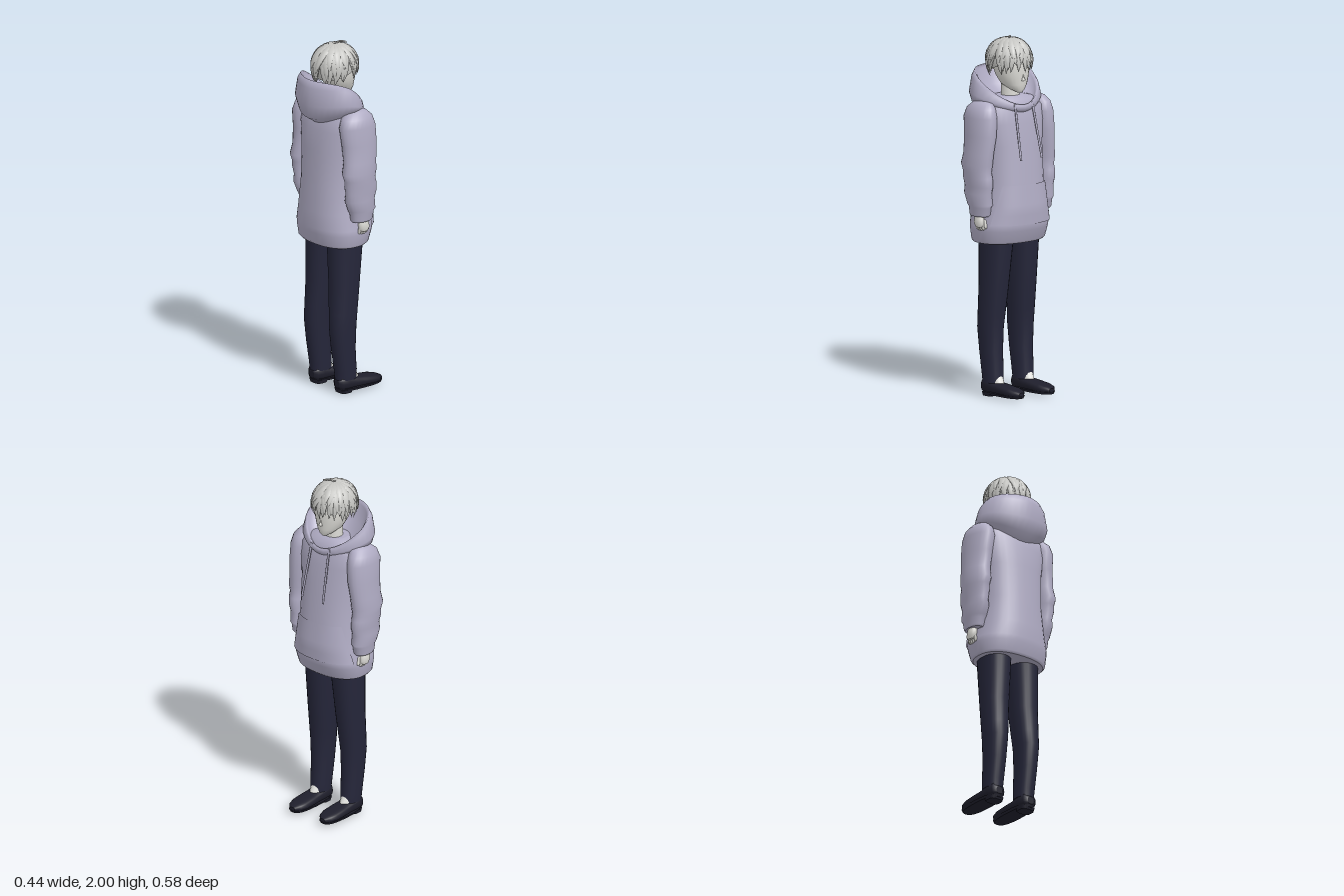
import * as THREE from 'three';

const mat = (name, color, side = THREE.FrontSide) => {
  const m = new THREE.MeshStandardMaterial({ color, side });
  m.name = name;
  return m;
};
const V = (x, y, z) => new THREE.Vector3(x, y, z);

// Skins a list of closed rings of points, with optional flat end caps
function skin(rings, caps = true) {
  const n = rings[0].length, pos = [], idx = [];
  rings.forEach(r => r.forEach(p => pos.push(p.x, p.y, p.z)));
  for (let i = 0; i < rings.length - 1; i++) for (let a = 0; a < n; a++) {
    const b = (a + 1) % n, p = i * n, q = p + n;
    idx.push(p + a, q + a, p + b, p + b, q + a, q + b);
  }
  if (caps) [rings[0], rings[rings.length - 1]].forEach((r, end) => {
    const base = pos.length / 3, c = V(0, 0, 0);
    r.forEach(p => { pos.push(p.x, p.y, p.z); c.addScaledVector(p, 1 / n); });
    pos.push(c.x, c.y, c.z);
    for (let a = 0; a < n; a++) {
      const b = (a + 1) % n;
      idx.push(base + n, base + (end ? b : a), base + (end ? a : b));
    }
  });
  const g = new THREE.BufferGeometry();
  g.setAttribute('position', new THREE.Float32BufferAttribute(pos, 3));
  g.setIndex(idx);
  g.computeVertexNormals();
  return g;
}

const pw = (v, e) => Math.sign(v) * Math.abs(v) ** e;
// Point on a horizontal section [y, back x, front x, centre z, half width]
const onSection = ([y, xb, xf, zc, rz], a, e = 1, grow = 1) =>
  V((xb + xf) / 2 + (xf - xb) / 2 * pw(Math.cos(a), e) * grow, y, zc + rz * pw(Math.sin(a), e) * grow);
const around = (n, f) => Array.from({ length: n }, (_, i) => f(i / n * Math.PI * 2));
const upright = (sections, s = 1, e = 1, n = 24) =>
  skin(sections.map(([y, b, f, z, r]) => around(n, a => onSection([y, b, f, z * s, r], a, e))));

const TORSO = [
  [0.858, -.165, .122, 0, .205], [0.87, -.176, .135, 0, .216], [0.93, -.186, .156, 0, .224],
  [0.96, -.19, .166, 0, .224], [1.05, -.19, .17, 0, .205], [1.2, -.18, .155, 0, .187],
  [1.4, -.17, .135, 0, .19], [1.52, -.16, .12, 0, .208], [1.6, -.14, .105, 0, .205],
  [1.645, -.115, .085, 0, .16], [1.665, -.08, .05, 0, .08]];
const SLEEVE = [
  [1.015, -.065, .06, .22, .04], [1.025, -.072, .068, .22, .046], [1.065, -.078, .075, .22, .048],
  [1.08, -.088, .085, .22, .055], [1.14, -.112, .078, .222, .058], [1.18, -.108, .092, .223, .055],
  [1.23, -.118, .088, .225, .062], [1.26, -.118, .08, .225, .059], [1.3, -.132, .086, .225, .066],
  [1.36, -.118, .09, .22, .063], [1.46, -.122, .1, .21, .068], [1.56, -.134, .097, .203, .07],
  [1.61, -.115, .08, .198, .062], [1.64, -.08, .05, .188, .044], [1.652, -.04, .015, .18, .018]];
const LEG = [
  [0.075, -.085, .04, .108, .05], [0.12, -.09, .04, .108, .053], [0.25, -.11, .032, .108, .057],
  [0.38, -.124, .036, .108, .063], [0.46, -.12, .044, .105, .068], [0.6, -.115, .06, .1, .074],
  [0.85, -.12, .087, .093, .083], [0.96, -.125, .09, .09, .085]];
const HEAD = [
  [1.685, .062, .086, 0, .014], [1.70, .015, .098, 0, .036], [1.73, -.05, .103, 0, .068],
  [1.78, -.085, .106, 0, .09], [1.83, -.105, .108, 0, .1], [1.9, -.105, .102, 0, .098],
  [1.945, -.08, .075, 0, .07], [1.965, -.03, .03, 0, .03]];
// Hood rows: back x, front x, half width, then heights at back, side and front
const HOOD = [
  [-.14, .1, .17, 1.55, 1.61, 1.575], [-.2, .115, .212, 1.59, 1.645, 1.585],
  [-.222, .125, .224, 1.67, 1.68, 1.6], [-.212, .122, .208, 1.77, 1.745, 1.615],
  [-.195, .114, .192, 1.812, 1.765, 1.622], [-.18, .104, .178, 1.795, 1.745, 1.612],
  [-.15, .09, .145, 1.7, 1.67, 1.59], [-.07, .05, .06, 1.65, 1.64, 1.58]];
// Shoe sections along the foot: x, half width, bottom y, top y
const SHOE = [
  [-.085, .02, .03, .07], [-.072, .044, .016, .095], [-.03, .05, .016, .095], [.03, .05, .018, .08],
  [.08, .054, .018, .074], [.15, .055, .016, .066], [.19, .044, .016, .058], [.218, .018, .02, .045]];

// Front pocket: a thin patch following the torso surface
function pocketGeometry() {
  const pos = [], idx = [], rows = 8, cols = 20;
  for (let i = 0; i <= rows; i++) {
    const y = 0.965 + 0.22 * i / rows;
    const k = TORSO.findIndex(t => t[0] > y), lo = TORSO[k - 1], hi = TORSO[k];
    const f = (y - lo[0]) / (hi[0] - lo[0]);
    const sec = lo.map((v, j) => v + (hi[j] - v) * f);
    const reach = 1.15 - 0.3 * (i / rows) ** 1.4;
    for (let j = 0; j <= cols; j++) {
      const p = onSection(sec, (j / cols * 2 - 1) * reach, 0.85, 1.03);
      pos.push(p.x, p.y, p.z);
      if (i < rows && j < cols) {
        const a = i * (cols + 1) + j, b = a + cols + 1;
        idx.push(a, b, a + 1, a + 1, b, b + 1);
      }
    }
  }
  const g = new THREE.BufferGeometry();
  g.setAttribute('position', new THREE.Float32BufferAttribute(pos, 3));
  g.setIndex(idx);
  g.computeVertexNormals();
  return g;
}

// One pointed lock of hair that runs from the crown over the skull
function lockGeometry(phi, end, lift, width, sweep) {
  const at = t => {
    const th = 0.05 + (end - 0.05) * t, over = Math.max(0, th - Math.PI / 2);
    const r = (over ? 1 - 0.25 * over * over : Math.sin(th)) * lift + 0.07 * t * t;
    const p = phi + sweep * t * t;
    return V(-.012 + .128 * r * Math.cos(p), 1.853 + .12 * lift * Math.cos(th), .113 * r * Math.sin(p));
  };
  const rings = [];
  for (let i = 0; i <= 8; i++) {
    const t = i / 8, p = at(t);
    const tan = at(t + 0.02).sub(at(t - 0.02)).normalize();
    let out = V(p.x + .012, p.y - 1.853, p.z);
    out.addScaledVector(tan, -out.dot(tan)).normalize();
    const side = out.clone().cross(tan);
    const w = width * Math.min(0.25 + 2 * t, 1) * (1 - t ** 3) + .0005;
    rings.push(around(6, a => p.clone().addScaledVector(out, Math.cos(a) * w * 0.35)
      .addScaledVector(side, Math.sin(a) * w)));
  }
  return skin(rings);
}

export function createModel() {
  const root = new THREE.Group();
  const cloth = mat('lavender grey cloth', 0xb0acc4, THREE.DoubleSide);
  const trouser = mat('navy trousers', 0x25263a);
  const leather = mat('dark leather', 0x1f1f2c);
  const skinTone = mat('pale skin', 0xdcdbd6);
  const hairMat = mat('light grey hair', 0xc6c6c3, THREE.DoubleSide);
  const sockMat = mat('white sock', 0xe4e4e0);
  const add = (name, geo, material, parent = root) => {
    const m = new THREE.Mesh(geo, material);
    m.name = name;
    parent.add(m);
    return m;
  };

  // Hooded top
  add('hoodieBody', upright(TORSO, 1, 0.85, 36), cloth);
  add('frontPocket', pocketGeometry(), cloth);
  add('hood', skin(HOOD.map(([xb, xf, rz, yb, ys, yf]) => around(36, a => {
    const c = Math.cos(a);
    const y = ys + (yf - yb) / 2 * c + ((yf + yb) / 2 - ys) * c * c;
    return V((xb + xf) / 2 + (xf - xb) / 2 * pw(c, 1.1), y, rz * pw(Math.sin(a), 1.1));
  })), false), cloth);

  // Head and neck
  add('neck', new THREE.CylinderGeometry(.048, .055, .18, 20).translate(-.005, 1.66, 0), skinTone);
  add('head', upright(HEAD), skinTone);
  add('nose', new THREE.ConeGeometry(.012, .035, 8).translate(.106, 1.772, 0), skinTone);

  // Hair: close cap, layered locks and one curled strand
  const hair = new THREE.Group();
  hair.name = 'hair';
  root.add(hair);
  add('hairCap', new THREE.SphereGeometry(1, 28, 14, 0, Math.PI * 2, 0, 1.8)
    .scale(.122, .12, .112).rotateZ(.3).translate(-.01, 1.853, 0), hairMat, hair);
  let seed = 7;
  const rnd = () => (seed = (seed * 16807) % 2147483647) / 2147483647 - 0.5;
  [[26, 1, 1], [22, .86, 1.03], [16, .68, 1.05]].forEach(([count, length, lift]) => {
    for (let i = 0; i < count; i++) {
      const phi = (i + 0.5 * length + rnd() * 0.4) / count * Math.PI * 2;
      const end = (2.15 - 0.25 * Math.cos(phi) + rnd() * 0.3) * length;
      add('hairLock', lockGeometry(phi, end, lift, .027, rnd() * 0.5), hairMat, hair);
    }
  });
  add('curledStrand', new THREE.TubeGeometry(new THREE.CatmullRomCurve3(
    [V(-.005, 1.965, 0), V(0, 1.985, .005), V(.015, 1.994, .02), V(.035, 1.99, .045)]), 12, .005, 6), hairMat, hair);

  for (const s of [1, -1]) {
    const side = s > 0 ? 'right' : 'left';

    // Arm, hand and drawstring
    add(side + 'Sleeve', upright(SLEEVE, s), cloth);
    add(side + 'Hand', upright([[.955, -.018, .03, .232, .016], [.975, -.03, .042, .232, .022],
      [1.0, -.03, .036, .23, .023], [1.04, -.022, .026, .225, .02]], s, 1, 14), skinTone);
    for (let f = 0; f < 4; f++)
      add(side + 'Finger', new THREE.CapsuleGeometry(.0095, .03, 3, 8).rotateX(s * .35)
        .translate(-.02 + f * .016, .955 + Math.abs(f - 1.5) * .004, s * .226), skinTone);
    add(side + 'Thumb', new THREE.CapsuleGeometry(.01, .032, 3, 8).rotateZ(.3)
      .translate(.038, .972, s * .216), skinTone);
    const top = V(.108, 1.63, s * .062), tip = V(.175, 1.325, s * .075);
    const string = add(side + 'Drawstring',
      new THREE.CylinderGeometry(.008, .008, top.distanceTo(tip), 8).scale(.4, 1, 1), cloth);
    string.position.copy(top).lerp(tip, 0.5);
    string.quaternion.setFromUnitVectors(V(0, 1, 0), top.clone().sub(tip).normalize());

    // Leg, sock and shoe
    add(side + 'TrouserLeg', upright(LEG, s, 0.92), trouser);
    add(side + 'Sock', upright([[.04, -.06, .075, .108, .036], [.08, -.06, .058, .108, .036],
      [.14, -.06, .025, .108, .036]], s, 1, 16), sockMat);
    add(side + 'Shoe', skin(SHOE.map(([x, r, y0, y1]) => around(20, a =>
      V(x, (y0 + y1) / 2 + (y1 - y0) / 2 * pw(Math.sin(a), .75), s * .109 + r * pw(Math.cos(a), .75))))), leather);
    add(side + 'Sole', upright([[.012, -.082, .214, .109, .05], [.026, -.086, .222, .109, .056]], s, .75), leather);
    add(side + 'Heel', upright([[0, -.074, .0, .109, .042], [.02, -.08, .006, .109, .046]], s, .6), leather);
  }
  return root;
}
